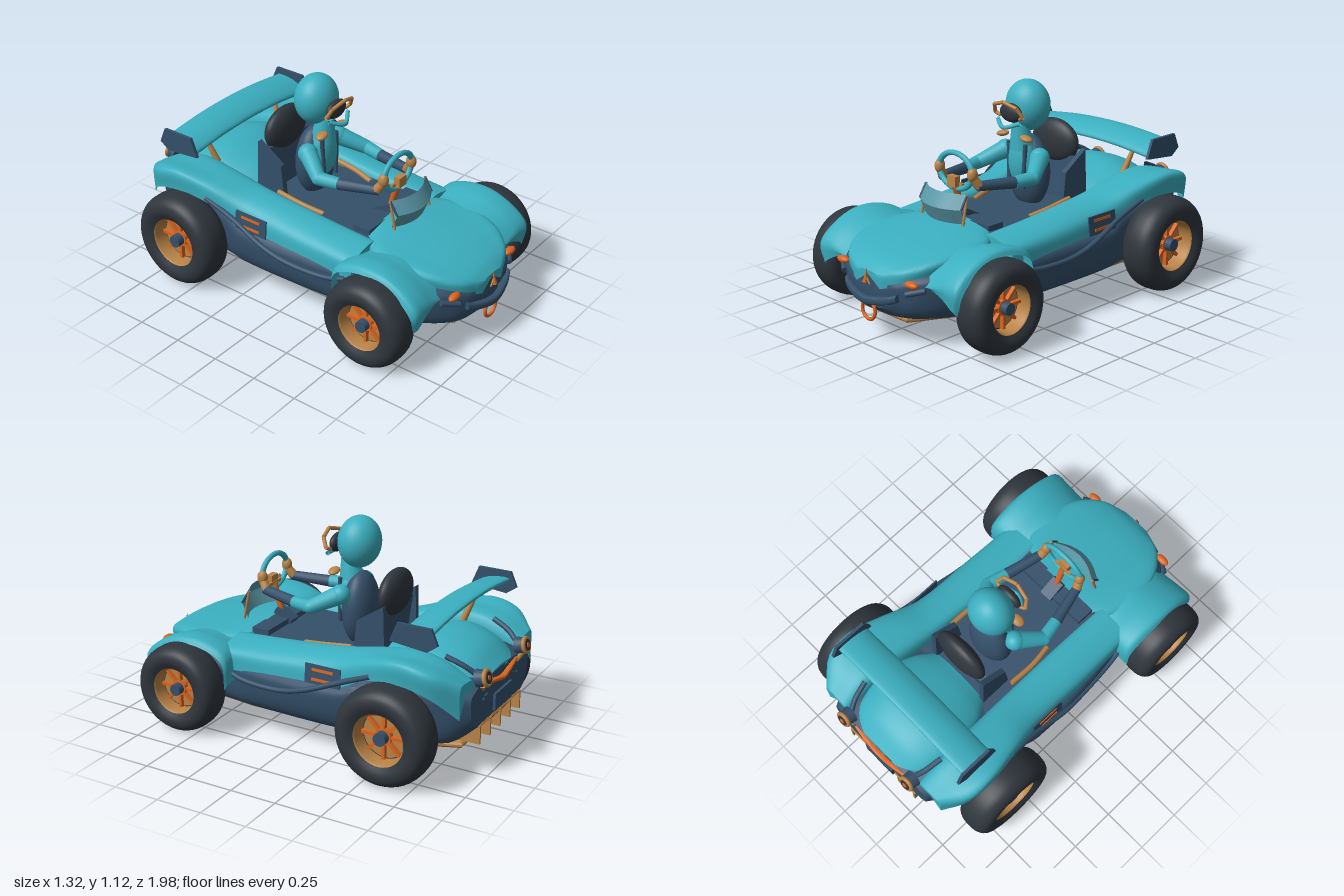
import * as THREE from 'three';
import { toCreasedNormals } from 'three/addons/utils/BufferGeometryUtils.js';

const V = (p) => new THREE.Vector3(...p);
const paint = (name, color) => {
  const m = new THREE.MeshStandardMaterial({ color, side: THREE.DoubleSide });
  m.name = name;
  return m;
};

// Smooth surface through a few cross-sections, with fan caps at both ends
function skin(rings, { closed = false, nu = 24, nv = 24, caps = true } = {}) {
  const fine = rings.map((r) => {
    const c = new THREE.CatmullRomCurve3(r.map(V), closed, 'centripetal');
    return Array.from({ length: nu + 1 }, (_, i) => c.getPoint(i / nu));
  });
  const pos = [], idx = [], n = nv + 1;
  for (let i = 0; i <= nu; i++) {
    const c = new THREE.CatmullRomCurve3(fine.map((r) => r[i]), false, 'centripetal');
    for (let j = 0; j <= nv; j++) pos.push(...c.getPoint(j / nv).toArray());
  }
  for (let i = 0; i < nu; i++) for (let j = 0; j < nv; j++) {
    const a = i * n + j;
    idx.push(a, a + n, a + 1, a + 1, a + n, a + n + 1);
  }
  if (caps) [0, nv].forEach((j) => {
    const ring = j ? fine[fine.length - 1] : fine[0];
    const mid = ring.reduce((s, p) => s.add(p), new THREE.Vector3()).divideScalar(ring.length);
    const k = pos.length / 3;
    pos.push(...mid.toArray());
    for (let i = 0; i < nu; i++) {
      const a = i * n + j, b = a + n;
      if (j) idx.push(k, a, b); else idx.push(k, b, a);
    }
  });
  const g = new THREE.BufferGeometry();
  g.setAttribute('position', new THREE.Float32BufferAttribute(pos, 3));
  g.setIndex(idx);
  return toCreasedNormals(g, 0.7);
}

export function createModel() {
  const root = new THREE.Group();
  root.name = 'buggyWithDriver';
  const teal = paint('teal', 0x3bafc0), navy = paint('navy', 0x34506a), bronze = paint('bronze', 0xb98347);
  const orange = paint('orange', 0xd9641f), rubber = paint('rubber', 0x2e353c), glass = paint('glass', 0x5b98a8);

  const add = (name, geo, mat, at = [0, 0, 0], rot = [0, 0, 0], parent = root) => {
    const m = new THREE.Mesh(geo, mat);
    m.name = name;
    m.position.set(...at);
    m.rotation.set(...rot);
    parent.add(m);
    return m;
  };
  const box = (name, size, mat, at, rot, parent) => add(name, new THREE.BoxGeometry(...size), mat, at, rot, parent);
  const ball = (name, r, mat, at, rot) => add(name, new THREE.SphereGeometry(1, 32, 20).scale(...r), mat, at, rot);
  const tube = (name, pts, r, mat) => add(name,
    new THREE.TubeGeometry(new THREE.CatmullRomCurve3(pts.map(V), false, 'centripetal'), 32, r, 10), mat);
  const rod = (name, a, b, r0, r1, mat) => {
    const d = V(b).sub(V(a));
    const m = add(name, new THREE.CylinderGeometry(r1, r0, d.length(), 14), mat, V(a).addScaledVector(d, 0.5).toArray());
    m.quaternion.setFromUnitVectors(new THREE.Vector3(0, 1, 0), d.normalize());
  };
  // Upright plate cut from a (back, up) outline
  const blade = (name, pts, t, x) => add(name, new THREE.ExtrudeGeometry(new THREE.Shape(pts.map((p) => new THREE.Vector2(...p))),
    { depth: t, bevelEnabled: false }).translate(0, 0, -t / 2).rotateY(Math.PI / 2), navy, [x, 0, 0]);
  const bothSides = (fn) => [1, -1].forEach(fn);

  // Lower hull: z, half width, top y, bottom half width, bottom y
  const hull = [[0.94, 0.16, 0.31, 0.1, 0.19], [0.89, 0.25, 0.34, 0.17, 0.15], [0.78, 0.35, 0.36, 0.25, 0.135],
    [0.6, 0.42, 0.36, 0.32, 0.13], [0.38, 0.43, 0.36, 0.35, 0.13], [0.28, 0.455, 0.37, 0.36, 0.13],
    [-0.28, 0.485, 0.39, 0.36, 0.13], [-0.4, 0.45, 0.42, 0.35, 0.13], [-0.6, 0.43, 0.46, 0.34, 0.14],
    [-0.82, 0.4, 0.46, 0.3, 0.16], [-0.94, 0.34, 0.44, 0.25, 0.25]];
  add('lowerHull', skin(hull.map(([z, w, t, b, y]) => {
    const half = [[b, y], [(w + b) / 2 + 0.02, y + 0.04], [w, y + (t - y) * 0.6], [w * 0.97, t]];
    return [...half.map(([x, h]) => [x, h, z]), ...half.reverse().map(([x, h]) => [-x, h, z])];
  }), { closed: true, nu: 40, nv: 40 }), navy);

  // Hood and rear deck: z, half width, crown y, edge y
  const crowned = (name, rows) => add(name, skin(rows.map(([z, w, c, e]) => {
    const half = [[w * 0.98, e - 0.06], [w, e], [w * 0.6, c - (c - e) * 0.25]];
    return [...half.map(([x, y]) => [-x, y, z]), [0, c, z], ...half.reverse().map(([x, y]) => [x, y, z])];
  }), { nu: 32 }), teal);
  crowned('hood', [[0.955, 0.09, 0.365, 0.35], [0.9, 0.21, 0.405, 0.385], [0.78, 0.3, 0.445, 0.425],
    [0.6, 0.335, 0.475, 0.45], [0.45, 0.31, 0.495, 0.455], [0.36, 0.24, 0.505, 0.46]]);
  crowned('rearDeck', [[-0.38, 0.18, 0.53, 0.47], [-0.48, 0.24, 0.575, 0.5], [-0.65, 0.27, 0.62, 0.55],
    [-0.83, 0.25, 0.58, 0.5], [-0.94, 0.21, 0.49, 0.43]]);

  // Front fenders: an arch over each wheel, and side pods flowing into the rear fenders
  const arch = [[0.25, 0.845], [0.35, 0.85], [0.43, 0.77], [0.488, 0.62], [0.475, 0.46], [0.42, 0.36], [0.28, 0.345]];
  const pods = [[0.42, 0.25, 0.47, 0.36, 0.465, 0.44, 0.43, 0.445, 0.34],
    [0.1, 0.25, 0.49, 0.36, 0.495, 0.445, 0.45, 0.462, 0.36], [-0.25, 0.26, 0.53, 0.37, 0.535, 0.45, 0.49, 0.465, 0.38],
    [-0.45, 0.27, 0.57, 0.4, 0.59, 0.49, 0.57, 0.5, 0.48], [-0.65, 0.28, 0.6, 0.42, 0.615, 0.53, 0.617, 0.53, 0.51],
    [-0.8, 0.28, 0.565, 0.4, 0.59, 0.52, 0.585, 0.515, 0.47], [-0.92, 0.28, 0.5, 0.36, 0.52, 0.42, 0.515, 0.425, 0.35]];
  const stripe = (s, pts) => pts.map(([x, y, z]) => [s * x, y, z]);
  bothSides((s) => {
    add('frontFender', skin([[0.26, -0.03], [0.34, -0.015], [0.43, 0.005], [0.505, 0], [0.525, -0.025]].map(([x, d], k) =>
      arch.map(([y, z], i) => [s * (i ? x : x * 0.95), y + d + (i ? 0 : [0.11, 0.09, 0.04, 0, 0][k]), k === 4 ? z * 0.94 + 0.03 : z])),
    { caps: false }), teal);
    add('sidePodAndRearFender', skin(pods.map(([z, a, b, c, d, e, f, g, h]) =>
      [[a - 0.02, 0.4], [a, b], [c, d], [e, f], [g, h]].map(([x, y]) => [s * x, y, z]))), teal);
    tube('sideTrim', stripe(s, [[0.45, 0.335, 0.38], [0.465, 0.31, 0.28], [0.485, 0.312, 0.05], [0.495, 0.35, -0.1],
      [0.485, 0.44, -0.32], [0.5, 0.51, -0.48]]), 0.014, navy);
    box('sidePlate', [0.008, 0.1, 0.2], navy, [s * 0.473, 0.44, -0.2], [0, 0, s * 0.1]);
    [0.415, 0.465].forEach((y) => box('sidePlateStripe', [0.008, 0.014, 0.12], orange, [s * (0.4795 - (y - 0.415) * 0.1), y, -0.2], [0, 0, s * 0.1]));
    tube('cockpitTrim', stripe(s, [[0.205, 0.47, 0.06], [0.225, 0.49, -0.06], [0.225, 0.51, -0.22]]), 0.014, bronze);
    tube('deckTrim', stripe(s, [[0.235, 0.515, -0.92], [0.262, 0.56, -0.86], [0.282, 0.598, -0.77]]), 0.014, navy);

    // Nose lamps and trims
    ball('headlight', [0.042, 0.018, 0.022], orange, [s * 0.255, 0.34, 0.9]);
    rod('lampTrim', [s * 0.23, 0.29, 0.915], [s * 0.31, 0.315, 0.86], 0.015, 0.015, navy);

    // Tail lamps, tilted slightly upward
    const lamp = new THREE.Group();
    lamp.name = 'tailLamp';
    lamp.position.set(s * 0.235, 0.505, -0.945);
    lamp.rotation.x = 0.25;
    root.add(lamp);
    const turn = [-Math.PI / 2, 0, 0];
    add('lampHousing', new THREE.CylinderGeometry(0.038, 0.046, 0.05, 24), navy, [0, 0, 0], turn, lamp);
    add('lampRing', new THREE.TorusGeometry(0.036, 0.011, 10, 24), bronze, [0, 0, -0.026], [0, 0, 0], lamp);
    add('lampLens', new THREE.CylinderGeometry(0.03, 0.03, 0.02, 24), rubber, [0, 0, -0.028], turn, lamp);
    add('lampBulb', new THREE.CylinderGeometry(0.014, 0.014, 0.01, 16), orange, [0, 0, -0.036], turn, lamp);
    rod('lampBracket', [s * 0.2, 0.43, -0.935], [s * 0.235, 0.475, -0.95], 0.01, 0.022, bronze);

    // Wing end plate and strut
    blade('wingEndPlate', [[0.6, 0.8], [0.78, 0.8], [0.815, 0.72], [0.76, 0.68], [0.56, 0.7]], 0.016, s * 0.457);
    rod('wingStrut', [s * 0.255, 0.57, -0.61], [s * 0.29, 0.75, -0.68], 0.019, 0.008, bronze);

    // Seat wings
    blade('seatWing', [[0.21, 0.46], [0.23, 0.64], [0.38, 0.74], [0.39, 0.46]], 0.03, s * 0.175);
  });

  // Floor tray and rear diffuser
  const tray = [[0.13, 0.8], [0.26, 0.55], [0.29, 0.3], [0.29, -0.58], [0.2, -0.8]];
  const outline = [...tray, ...tray.map(([x, z]) => [-x, z]).reverse()].map(([x, z]) => new THREE.Vector2(x, -z));
  add('floorTray', new THREE.ExtrudeGeometry(new THREE.Shape(outline),
    { depth: 0.01, bevelSize: 0.055, bevelThickness: 0.018, bevelSegments: 3 }).rotateX(-Math.PI / 2), bronze, [0, 0.115, 0]);
  box('diffuserPlate', [0.5, 0.012, 0.2], bronze, [0, 0.2, -0.86], [0.55, 0, 0]);
  for (let i = 0; i < 5; i++) box('diffuserFin', [0.012, 0.1, 0.11], bronze, [-0.24 + i * 0.12, 0.205, -0.895]);

  // Cockpit floor, dash, seat back and headrest
  box('cockpitFloor', [0.5, 0.1, 0.8], navy, [0, 0.42, -0.02]);
  box('dashboard', [0.46, 0.05, 0.1], navy, [0, 0.475, 0.32]);
  box('seatBack', [0.34, 0.24, 0.04], navy, [0, 0.58, -0.33], [-0.15, 0, 0]);
  ball('headrest', [0.16, 0.12, 0.058], rubber, [0, 0.76, -0.35]);

  // Arched rear wing
  add('rearWing', skin([-0.45, -0.22, 0, 0.22, 0.45].map((x) => {
    const y = 0.775 - x * x * 0.16;
    return [[-0.585, -0.03], [-0.66, 0.014], [-0.77, 0.02], [-0.77, 0.004], [-0.66, -0.014], [-0.59, -0.045]].map(([z, d]) => [x, y + d, z]);
  }), { closed: true, nu: 28 }), teal);

  // Nose details: bumper, tow ring, fin
  add('frontBumper', skin([-0.19, -0.14, 0, 0.14, 0.19].map((x) => {
    const y = 0.222 + x * x * 1.1, z = 0.98 - x * x * 1.3;
    return [[0.017, 0.01], [0.017, -0.02], [-0.017, -0.02], [-0.017, 0.01]].map(([dy, dz]) => [x, y + dy, z + dz]);
  }), { closed: true }), navy);
  bothSides((s) => rod('bumperStay', [s * 0.1, 0.235, 0.9], [s * 0.1, 0.235, 0.965], 0.012, 0.012, navy));
  add('towRing', new THREE.TorusGeometry(0.048, 0.009, 10, 28), orange, [0, 0.16, 0.955]);
  add('noseFin', new THREE.ConeGeometry(0.012, 0.08, 8), orange, [0, 0.345, 0.965], [-0.2, 0, 0]);
  bothSides((s) => rod('noseFinBrace', [0, 0.335, 0.965], [s * 0.026, 0.3, 0.965], 0.006, 0.004, bronze));

  // Tail details
  add('tailStrip', skin([-0.18, -0.08, 0, 0.08, 0.18].map((x) => {
    const y = 0.425 + Math.abs(x) * 0.17, z = -0.965 + x * x * 0.5;
    return [[0.007, 0.03], [0.007, 0], [-0.007, 0], [-0.007, 0.03]].map(([dy, dz]) => [x, y + dy, z + dz]);
  }), { closed: true }), orange);
  box('tailPlate', [0.2, 0.09, 0.014], navy, [0, 0.325, -0.955]);

  // Wraparound windscreen in two bands, with bronze posts
  const screen = [[0.5, 0.508], [0.535, 0.588], [0.49, 0.66]];
  const bow = (x) => -x * x * 2.3;
  [0, 1].forEach((k) => add('windscreenPane', skin([-0.15, -0.075, 0, 0.075, 0.15].map((x) =>
    screen.slice(k, k + 2).map(([z, y]) => [x, y, z + bow(x)])), { caps: false }), glass));
  bothSides((s) => {
    rod('windscreenPost', [s * 0.152, 0.505, 0.47], [s * 0.152, 0.66, 0.438], 0.007, 0.007, bronze);
    rod('windscreenFrame', [s * 0.152, 0.588, 0.483], [s * 0.152, 0.66, 0.438], 0.006, 0.006, navy);
  });

  // Steering wheel and column
  add('steeringWheel', new THREE.TorusGeometry(0.092, 0.014, 12, 40).scale(1.3, 1, 1), teal, [0, 0.74, 0.375]);
  box('steeringHub', [0.06, 0.055, 0.035], bronze, [0, 0.69, 0.39]);
  box('steeringSpoke', [0.11, 0.018, 0.014], bronze, [0, 0.675, 0.375]);
  rod('steeringColumn', [0, 0.67, 0.38], [0, 0.53, 0.335], 0.02, 0.014, orange);
  box('columnMount', [0.07, 0.035, 0.11], navy, [0, 0.505, 0.305], [-0.5, 0, 0]);

  // Driver
  ball('torso', [0.13, 0.2, 0.088], navy, [0, 0.635, -0.15]);
  ball('chest', [0.085, 0.14, 0.06], teal, [0, 0.7, -0.095]);
  rod('neck', [0, 0.77, -0.1], [0, 0.9, -0.08], 0.07, 0.042, teal);
  ball('helmet', [0.125, 0.135, 0.11], teal, [0, 0.99, -0.14]);
  ball('visor', [0.075, 0.05, 0.03], rubber, [0, 0.968, -0.015]);
  tube('chinGuard', [[-0.08, 0.925, 0], [0, 0.9, 0.04], [0.08, 0.925, 0]], 0.011, teal);
  bothSides((s) => {
    const rim = [[0, 1.032, 0.04], [0.08, 1.008, 0.025], [0.1, 0.96, 0], [0.07, 0.945, -0.01]].map(([x, y, z]) => [s * x, y, z]);
    for (let i = 0; i < 3; i++) rod('visorRim', rim[i], rim[i + 1], 0.01, 0.01, bronze);
    ball('collarTab', [0.038, 0.016, 0.028], bronze, [s * 0.085, 0.84, -0.04], [0, 0, -s * 0.2]);
    rod('harnessStrap', [s * 0.06, 0.8, -0.06], [s * 0.05, 0.56, -0.055], 0.012, 0.012, navy);
    ball('shoulder', [0.052, 0.052, 0.052], teal, [s * 0.125, 0.735, -0.1]);
    rod('upperArm', [s * 0.125, 0.735, -0.1], [s * 0.205, 0.67, 0.03], 0.05, 0.037, teal);
    ball('elbow', [0.037, 0.036, 0.037], teal, [s * 0.205, 0.67, 0.03]);
    rod('elbowSleeve', [s * 0.205, 0.67, 0.03], [s * 0.182, 0.667, 0.14], 0.036, 0.032, teal);
    rod('forearm', [s * 0.182, 0.667, 0.14], [s * 0.13, 0.68, 0.35], 0.031, 0.025, navy);
    ball('hand', [0.026, 0.038, 0.028], bronze, [s * 0.12, 0.74, 0.372]);
    rod('wrist', [s * 0.132, 0.68, 0.34], [s * 0.12, 0.725, 0.37], 0.026, 0.022, bronze);
  });

  // Wheels: tyre, deep rim, spokes on the outer face, hub and inboard brake
  const wheel = (name, R, w, at, s) => {
    const g = new THREE.Group();
    g.name = name;
    g.position.set(...at);
    g.rotation.y = s > 0 ? 0 : Math.PI;
    root.add(g);
    const axial = [0, 0, -Math.PI / 2];
    const spin = (part, pts, mat) => add(part, new THREE.LatheGeometry(pts.map(([r, x]) => new THREE.Vector2(r * R, x * w)), 48), mat, [0, 0, 0], axial, g);
    const disc = (part, r, t, mat, x) => add(part, new THREE.CylinderGeometry(r * R, r * R, t * w, 36), mat, [x * w, 0, 0], axial, g);
    const profile = new THREE.SplineCurve([[0.53, -0.4], [0.7, -0.49], [0.87, -0.44], [0.975, -0.26], [1, 0], [0.975, 0.26],
      [0.87, 0.44], [0.7, 0.49], [0.53, 0.4]].map((p) => new THREE.Vector2(...p)));
    spin('tyre', profile.getPoints(28).map((p) => [p.x, p.y]), rubber);
    spin('rimBarrel', [[0.53, -0.4], [0.5, -0.36], [0.48, 0], [0.5, 0.36], [0.53, 0.4]], bronze);
    disc('rimDisc', 0.46, 0.06, bronze, 0);
    disc('rimShadowGap', 0.49, 0.04, rubber, 0);
    disc('hub', 0.13, 0.5, navy, 0.1);
    disc('hubCollar', 0.17, 0.2, orange, 0.06);
    box('brakeCaliper', [w * 0.25, R * 0.42, R * 0.14], orange, [-w * 0.16, 0, R * 0.16], [0, 0, 0], g);
    for (let i = 0; i < 8; i++) {
      const a = (i / 8) * Math.PI * 2;
      box('spoke', [w * 0.12, R * 0.34, R * 0.065], orange, [w * 0.08, Math.cos(a) * R * 0.3, Math.sin(a) * R * 0.3], [a, 0, 0], g);
    }
  };
  bothSides((s) => {
    wheel('frontWheel', 0.235, 0.195, [s * 0.547, 0.235, 0.6], s);
    wheel('rearWheel', 0.257, 0.205, [s * 0.557, 0.257, -0.6], s);
    rod('frontAxle', [s * 0.3, 0.235, 0.6], [s * 0.54, 0.235, 0.6], 0.025, 0.025, navy);
    rod('rearAxle', [s * 0.3, 0.257, -0.6], [s * 0.54, 0.257, -0.6], 0.025, 0.025, navy);
  });
  return root;
}
